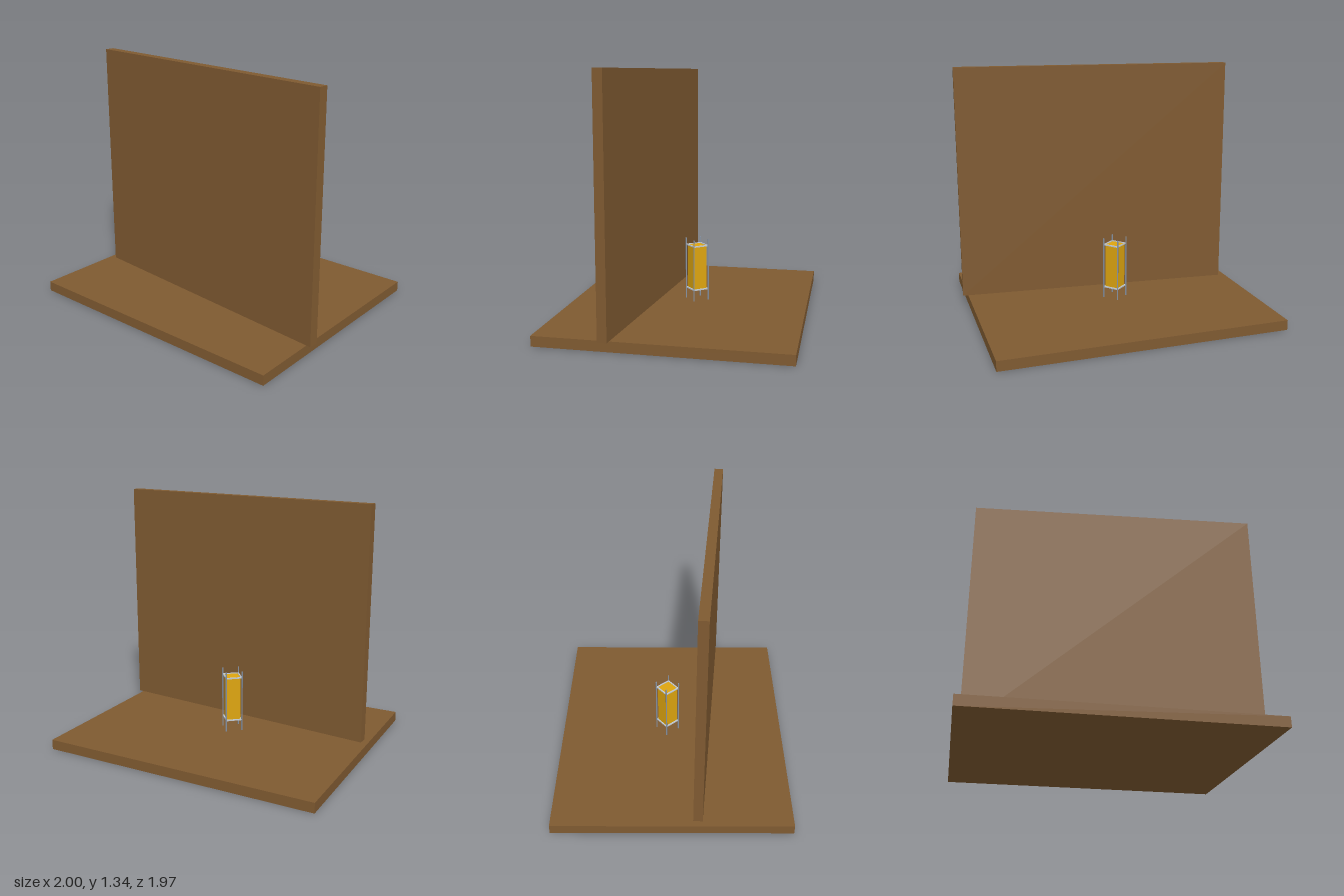
import * as THREE from 'three';

const mat = (name, color) => {
  const m = new THREE.MeshStandardMaterial({ color });
  m.name = name;
  return m;
};

export function createModel() {
  const wood = mat('brown wood', 0x7f5a31);
  const glow = mat('amber glass', 0xdea50f);
  const metal = mat('blue grey metal', 0x8894a4);
  const trim = mat('pale metal', 0xc4ccd4);

  const model = new THREE.Group();
  model.name = 'lanternByWall';

  const box = (name, material, [w, h, d], [x, y, z], parent, turn = 0) => {
    const mesh = new THREE.Mesh(new THREE.BoxGeometry(w, h, d), material);
    mesh.name = name;
    mesh.position.set(x, y, z);
    mesh.rotation.y = THREE.MathUtils.degToRad(turn);
    parent.add(mesh);
    return mesh;
  };

  // Floor slab and upright wall, turned by different angles
  box('floor', wood, [1.536, 0.054, 1.28], [0, 0.027, 0], model, -40);
  box('wall', wood, [1.533, 1.282, 0.05], [-0.107, 0.695, 0.175], model, -45);

  // Lantern: glowing block held between four thin corner posts
  const lantern = new THREE.Group();
  lantern.name = 'lantern';
  lantern.position.set(0.003, 0.054, -0.033);
  model.add(lantern);
  box('lanternGlass', glow, [0.076, 0.246, 0.078], [0, 0.185, 0], lantern);

  const r = 0.045;
  for (const sx of [-1, 1]) {
    for (const sz of [-1, 1]) {
      const post = new THREE.Mesh(new THREE.CylinderGeometry(0.004, 0.004, 0.345, 8), metal);
      post.name = 'lanternPost';
      post.position.set(sx * r, 0.1725, sz * r);
      lantern.add(post);
    }
  }

  // Thin rails joining the posts at the top and bottom of the glass
  for (const y of [0.062, 0.308]) {
    for (const s of [-1, 1]) {
      box('lanternRail', trim, [2 * r, 0.007, 0.007], [0, y, s * (r - 0.003)], lantern);
      box('lanternRail', trim, [0.007, 0.007, 2 * r], [s * (r - 0.003), y, 0], lantern);
    }
  }
  return model;
}
